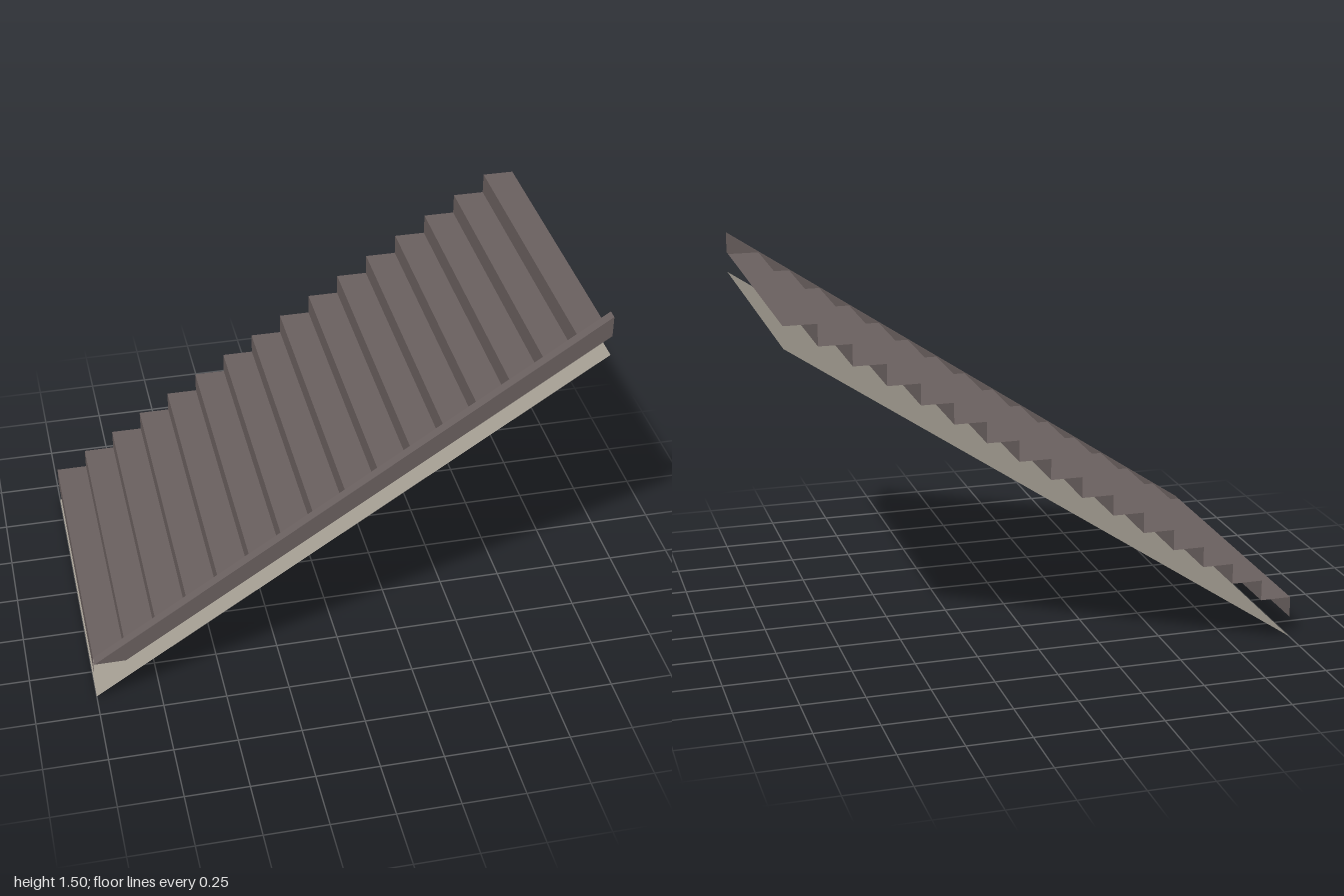
import * as THREE from 'three';

const STEPS = 16, RUN = 2 / STEPS, RISE = 1 / 12;
const BACK = -0.645, INNER = 0.605, FRONT = 0.645;

// Open strip swept along z through a list of [x, y] points
function ribbon(points, z0, z1, material, name) {
  const pos = [];
  for (let i = 0; i < points.length - 1; i++) {
    const [ax, ay] = points[i], [bx, by] = points[i + 1];
    pos.push(ax, ay, z0, ax, ay, z1, bx, by, z1);
    pos.push(ax, ay, z0, bx, by, z1, bx, by, z0);
  }
  const geo = new THREE.BufferGeometry();
  geo.setAttribute('position', new THREE.Float32BufferAttribute(pos, 3));
  geo.computeVertexNormals();
  const mesh = new THREE.Mesh(geo, material);
  mesh.name = name;
  return mesh;
}

export function createModel() {
  const stairPaint = new THREE.MeshStandardMaterial({ color: 0x6a605f, side: THREE.DoubleSide });
  stairPaint.name = 'stairBrown';
  const soffitPaint = new THREE.MeshStandardMaterial({ color: 0xa39d92, side: THREE.DoubleSide });
  soffitPaint.name = 'soffitGrey';

  const group = new THREE.Group();
  group.name = 'staircase';

  // Thin zigzag of risers and treads
  const zigzag = [[-1, RISE]];
  for (let i = 0; i < STEPS; i++) {
    const y = RISE * (i + 2);
    zigzag.push([-1 + i * RUN, y], [-1 + (i + 1) * RUN, y]);
  }
  group.add(ribbon(zigzag, BACK, INNER, stairPaint, 'steps'));

  // Hollow stringer, open at its upper end
  const foot = 2 * RISE, head = foot + STEPS * RISE;
  const outline = [[1, head], [-1, foot], [-1 + RUN, foot], [1, head - RISE]];
  const stringer = new THREE.Group();
  stringer.name = 'stringer';
  stringer.add(ribbon(outline, INNER, FRONT, stairPaint, 'stringerEdges'));
  const shape = new THREE.Shape(outline.map(([x, y]) => new THREE.Vector2(x, y)));
  for (const [z, name] of [[FRONT, 'stringerOuterFace'], [INNER, 'stringerInnerFace']]) {
    const face = new THREE.Mesh(new THREE.ShapeGeometry(shape), stairPaint);
    face.position.z = z;
    face.name = name;
    stringer.add(face);
  }
  group.add(stringer);

  // Sloping sheet under the flight
  group.add(ribbon([[-1, 0], [1, STEPS * RISE]], BACK, FRONT, soffitPaint, 'soffit'));
  return group;
}
